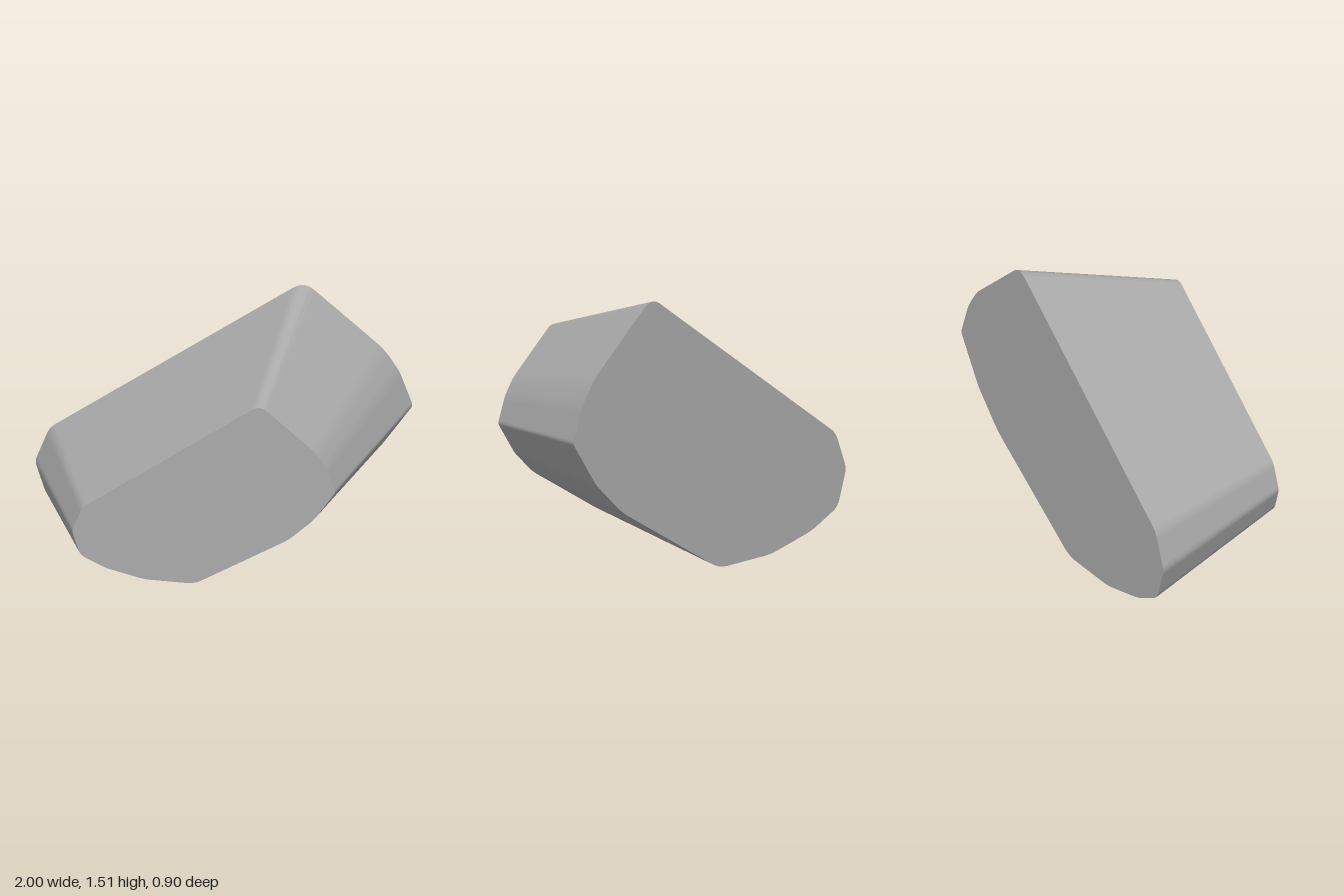
import * as THREE from 'three';

// Back outline, counter-clockwise: x, y, length trimmed off each side to round the corner
const OUTLINE = [
  [-0.07, 0.0, 0.06], [0.64, 0.405, 0.06], [0.83, 0.58, 0.04], [1.002, 0.83, 0.02],
  [0.93, 1.03, 0.04], [0.85, 1.155, 0.06], [0.425, 1.535, 0.07], [-0.925, 0.603, 0.04],
  [-1.003, 0.4, 0.03], [-0.94, 0.2, 0.04], [-0.75, 0.1, 0.05], [-0.45, 0.018, 0.05],
];

// Closed shape with each corner rounded by a short curve
function roundedShape(points) {
  const shape = new THREE.Shape();
  const n = points.length;
  points.forEach(([x, y, cut], i) => {
    const corner = new THREE.Vector2(x, y);
    const towards = ([px, py]) =>
      new THREE.Vector2(px - x, py - y).setLength(cut).add(corner);
    const a = towards(points[(i + n - 1) % n]);
    const b = towards(points[(i + 1) % n]);
    if (i === 0) shape.moveTo(a.x, a.y);
    else shape.lineTo(a.x, a.y);
    shape.quadraticCurveTo(x, y, b.x, b.y);
  });
  shape.closePath();
  return shape;
}

export function createModel() {
  const group = new THREE.Group();
  group.name = 'taperedBlock';
  const grey = new THREE.MeshStandardMaterial({ color: 0xaaaaaa });
  grey.name = 'grey';

  const depth = 0.9;
  const geometry = new THREE.ExtrudeGeometry(roundedShape(OUTLINE), {
    depth, bevelEnabled: false, curveSegments: 5,
  });

  // Taper: the front end shrinks to 70 percent around one point
  const pos = geometry.attributes.position;
  for (let i = 0; i < pos.count; i++) {
    const z = pos.getZ(i);
    const t = z / depth;
    const scale = 1 - 0.302 * t;
    pos.setXYZ(i, pos.getX(i) * scale - 0.016 * t, pos.getY(i) * scale + 0.175 * t, z - depth / 2);
  }
  geometry.computeVertexNormals();

  const block = new THREE.Mesh(geometry, grey);
  block.name = 'block';
  group.add(block);
  return group;
}
